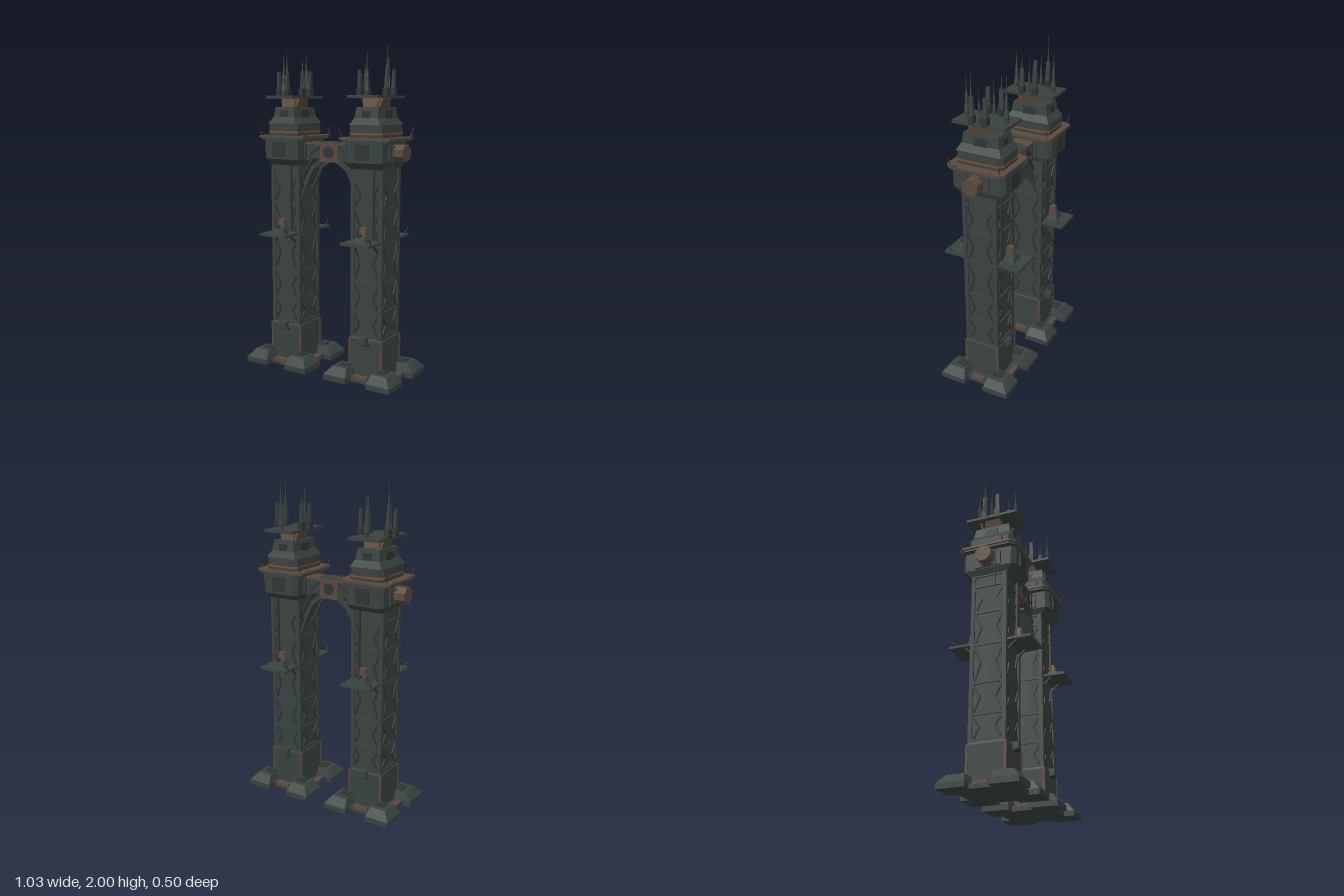
import * as THREE from 'three';

const mat = (name, color, side = THREE.FrontSide) => {
  const m = new THREE.MeshStandardMaterial({ color, side });
  m.name = name;
  return m;
};
const iron = mat('dark iron', 0x39423f);
const shade = mat('recessed iron', 0x2e3634);
const brown = mat('weathered brown', 0x5a493e);
const rust = mat('rust orange', 0x85502b);

function add(parent, name, geo, material, x = 0, y = 0, z = 0) {
  const m = new THREE.Mesh(geo, material);
  m.name = name;
  m.position.set(x, y, z);
  parent.add(m);
  return m;
}
const box = (p, name, m, w, h, d, x, y, z) => add(p, name, new THREE.BoxGeometry(w, h, d), m, x, y, z);

// Four-sided frustum standing on y0; (tx, tz) shifts its top
function frustum(p, name, m, w0, d0, w1, d1, y0, y1, x = 0, z = 0, tx = 0, tz = 0) {
  const g = new THREE.BoxGeometry(1, y1 - y0, 1);
  const a = g.attributes.position;
  for (let i = 0; i < a.count; i++) {
    const top = a.getY(i) > 0;
    a.setX(i, a.getX(i) * (top ? w1 : w0) + (top ? tx : 0));
    a.setZ(i, a.getZ(i) * (top ? d1 : d0) + (top ? tz : 0));
  }
  g.computeVertexNormals();
  return add(p, name, g, m, x, (y0 + y1) / 2, z);
}

// Rectangular slab with cut corners
function slab(p, name, m, w, d, cut, y0, y1) {
  const s = new THREE.Shape();
  const a = w / 2, b = d / 2;
  [[-a + cut, -b], [a - cut, -b], [a, -b + cut], [a, b - cut], [a - cut, b], [-a + cut, b], [-a, b - cut], [-a, -b + cut]]
    .forEach(([x, y], i) => (i ? s.lineTo(x, y) : s.moveTo(x, y)));
  const g = new THREE.ExtrudeGeometry(s, { depth: y1 - y0, bevelEnabled: false });
  g.rotateX(-Math.PI / 2);
  return add(p, name, g, m, 0, y0, 0);
}

// Square bar between two points
function bar(p, name, m, a, b, w, d = w) {
  const A = new THREE.Vector3(...a), B = new THREE.Vector3(...b);
  const dir = B.clone().sub(A);
  const mesh = add(p, name, new THREE.BoxGeometry(w, dir.length(), d), m);
  mesh.position.copy(A).add(B).multiplyScalar(0.5);
  mesh.quaternion.setFromUnitVectors(new THREE.Vector3(0, 1, 0), dir.normalize());
  return mesh;
}

// Spire: faceted blade tapering to a needle
function spire(p, x, z, y0, y1, r) {
  const h = y1 - y0;
  const pts = [[0, 0], [r * 0.8, 0], [r, h * 0.12], [r * 0.6, h * 0.3], [r * 0.62, h * 0.42], [r * 0.22, h * 0.62], [0, h]];
  const g = new THREE.LatheGeometry(pts.map(q => new THREE.Vector2(...q)), 5).toNonIndexed();
  g.computeVertexNormals();
  add(p, 'spire', g, iron, x, y0, z);
}

function buildFeet(t) {
  slab(t, 'baseSlab', iron, 0.34, 0.34, 0.04, 0, 0.03);
  for (const sx of [-1, 1]) for (const sz of [-1, 1]) {
    const x = sx * 0.147, z = sz * 0.147;
    box(t, 'footPad', iron, 0.156, 0.032, 0.166, x, 0.016, z);
    frustum(t, 'footSlope', iron, 0.15, 0.16, 0.1, 0.105, 0.032, 0.08, x, z, -sx * 0.012, -sz * 0.012);
    box(t, 'footCap', shade, 0.06, 0.012, 0.06, sx * 0.125, 0.082, sz * 0.125);
  }
  for (const s of [-1, 1]) {
    box(t, 'footJoint', brown, 0.09, 0.022, 0.03, 0, 0.03, s * 0.16);
    box(t, 'footJoint', brown, 0.03, 0.022, 0.08, s * 0.16, 0.03, 0);
  }
}

function buildShaft(t) {
  box(t, 'shaftCore', iron, 0.194, 1.24, 0.2, 0, 0.65, 0);
  // Plinth with worn corner strips
  frustum(t, 'plinth', iron, 0.222, 0.228, 0.222, 0.228, 0.03, 0.25);
  frustum(t, 'plinthShoulder', iron, 0.222, 0.228, 0.2, 0.208, 0.25, 0.275);
  for (const sx of [-1, 1]) for (const sz of [-1, 1]) {
    box(t, 'plinthCorner', brown, 0.012, 0.17, 0.014, sx * 0.108, 0.165, sz * 0.11);
    box(t, 'cornerPost', iron, 0.024, 1.01, 0.024, sx * 0.094, 0.77, sz * 0.098);
  }
  // Ring bands and diagonal ribs in every panel
  const levels = [0.27, 0.42, 0.6, 0.83, 1.03, 1.2, 1.27];
  levels.forEach((y, i) => {
    box(t, 'band', iron, 0.21, 0.018, 0.218, 0, y, 0);
    if (i > 4) return;
    const lo = y + 0.012, hi = levels[i + 1] - 0.012, mid = (lo + hi) / 2;
    for (const s of [-1, 1]) for (const k of [-1, 1]) {
      bar(t, 'rib', shade, [k * 0.086, hi, s * 0.102], [k * 0.045, mid, s * 0.102], 0.012);
      bar(t, 'rib', shade, [k * 0.045, mid, s * 0.102], [k * 0.08, lo, s * 0.102], 0.012);
      bar(t, 'rib', shade, [s * 0.099, hi, k * 0.088], [s * 0.099, mid, k * 0.045], 0.012);
      bar(t, 'rib', shade, [s * 0.099, mid, k * 0.045], [s * 0.099, lo, k * 0.08], 0.012);
    }
  });
  for (const s of [-1, 1]) {
    bar(t, 'conduit', shade, [0.05, 0.86, s * 0.112], [0.05, 1.27, s * 0.112], 0.012);
    box(t, 'shaftLamp', iron, 0.04, 0.04, 0.04, 0, 0.25, s * 0.127);
    box(t, 'lampBase', shade, 0.06, 0.012, 0.034, 0, 0.228, s * 0.125);
  }
}

function buildBalcony(t, s) {
  const g = new THREE.Group();
  g.name = 'balcony';
  t.add(g);
  box(g, 'balconyDeck', iron, 0.19, 0.015, 0.15, 0, 0.842, s * 0.174);
  for (const k of [-1, 1]) {
    bar(g, 'balconyBracket', shade, [k * 0.07, 0.79, s * 0.105], [k * 0.07, 0.836, s * 0.155], 0.01);
    bar(g, 'balconySpike', shade, [k * 0.085, 0.85, s * 0.2], [k * 0.092, 0.885, s * 0.235], 0.005);
  }
  frustum(g, 'turretBase', iron, 0.08, 0.075, 0.055, 0.055, 0.849, 0.885, 0, s * 0.15);
  const drum = new THREE.CylinderGeometry(0.023, 0.028, 0.05, 8).toNonIndexed();
  drum.computeVertexNormals();
  add(g, 'turretDrum', drum, brown, 0, 0.91, s * 0.143);
  bar(g, 'turretBarrel', shade, [0, 0.895, s * 0.15], [0, 0.888, s * 0.2], 0.012);
}

function buildHead(t, out) {
  // Collar
  frustum(t, 'collarSkirt', iron, 0.205, 0.22, 0.24, 0.3, 1.265, 1.305);
  slab(t, 'collar', iron, 0.245, 0.335, 0.025, 1.305, 1.43);
  for (const s of [-1, 1]) {
    box(t, 'collarHatch', shade, 0.09, 0.09, 0.012, 0, 1.365, s * 0.168);
    box(t, 'collarFlange', iron, 0.02, 0.09, 0.16, s * 0.122, 1.355, 0);
  }
  // Outer hub
  const hub = new THREE.CylinderGeometry(0.052, 0.052, 0.075, 8).toNonIndexed();
  hub.rotateY(Math.PI / 8);
  hub.rotateZ(Math.PI / 2);
  hub.computeVertexNormals();
  add(t, 'sideHub', hub, brown, out * 0.164, 1.36, 0);
  box(t, 'hubMount', iron, 0.03, 0.085, 0.085, out * 0.128, 1.36, 0);
  // Walkway
  slab(t, 'walkwayUnderside', iron, 0.31, 0.34, 0.03, 1.422, 1.434);
  slab(t, 'walkway', brown, 0.33, 0.36, 0.03, 1.434, 1.447);
  for (const sx of [-1, 1]) for (const sz of [-1, 1]) {
    bar(t, 'walkwayAerial', shade, [sx * 0.145, 1.445, sz * 0.15], [sx * 0.158, 1.5, sz * 0.165], 0.004);
    bar(t, 'walkwayAerial', shade, [sx * 0.15, 1.445, sz * 0.1], [sx * 0.185, 1.465, sz * 0.11], 0.004);
  }
  bar(t, 'hangingCable', shade, [out * 0.135, 1.17, 0.05], [out * 0.14, 1.43, 0.05], 0.004);
  // Stepped turret
  slab(t, 'turretStep', iron, 0.215, 0.29, 0.025, 1.447, 1.52);
  slab(t, 'rustBand', rust, 0.219, 0.294, 0.025, 1.465, 1.474);
  frustum(t, 'turretSlope', iron, 0.205, 0.28, 0.155, 0.235, 1.52, 1.56);
  frustum(t, 'turretTop', iron, 0.155, 0.235, 0.14, 0.215, 1.56, 1.62);
  for (const s of [-1, 1]) {
    box(t, 'turretHatch', shade, 0.055, 0.05, 0.02, 0, 1.575, s * 0.108);
    box(t, 'turretVent', shade, 0.02, 0.05, 0.08, s * 0.07, 1.575, 0);
  }
  frustum(t, 'neck', brown, 0.11, 0.12, 0.14, 0.09, 1.62, 1.672);
  for (const s of [-1, 1]) bar(t, 'neckStrut', rust, [s * 0.04, 1.62, s * 0.07], [s * 0.065, 1.672, s * 0.08], 0.012);
  // Crown deck with spires
  box(t, 'crownDeck', iron, 0.2, 0.016, 0.325, 0, 1.68, 0);
  spire(t, 0.005, -0.122, 1.688, 1.96, 0.017);
  spire(t, 0.005, 0.122, 1.688, 1.93, 0.017);
  for (const s of [-1, 1]) {
    for (const z of [-0.042, 0.042]) {
      frustum(t, 'crownFin', iron, 0.02, 0.03, 0.012, 0.022, 1.67, 1.835, s * 0.086, z, s * 0.004);
      box(t, 'finFoot', shade, 0.032, 0.05, 0.034, s * 0.086, 1.705, z);
    }
    spire(t, s * 0.09, s * 0.042, 1.69, s === out ? 2 : 1.95, 0.014);
    spire(t, s * 0.08, 0, 1.688, 1.9, 0.011);
  }
}

function buildBridge(root) {
  const g = new THREE.Group();
  g.name = 'bridge';
  root.add(g);
  box(g, 'bridgeBeam', iron, 0.36, 0.085, 0.1, 0, 1.355, 0);
  box(g, 'bridgeCentre', brown, 0.125, 0.118, 0.125, 0, 1.35, 0);
  box(g, 'bridgeDeck', brown, 0.36, 0.01, 0.125, 0, 1.402, 0);
  slab(g, 'deckPatch', iron, 0.18, 0.115, 0.03, 1.406, 1.412);
  for (const s of [-1, 1]) {
    const disc = new THREE.CylinderGeometry(0.036, 0.036, 0.008, 12);
    disc.rotateX(Math.PI / 2);
    add(g, 'bridgeDisc', disc, shade, 0, 1.352, s * 0.064);
    box(g, 'bridgeCollar', iron, 0.03, 0.11, 0.115, s * 0.155, 1.35, 0);
    for (const z of [-0.045, 0.045]) {
      bar(g, 'bridgeRib', shade, [s * 0.065, 1.385, z * 1.12], [s * 0.15, 1.325, z * 1.12], 0.012);
      // Bent braces below the beam
      bar(g, 'outerBrace', iron, [s * 0.192, 1.12, z], [s * 0.125, 1.255, z], 0.024);
      bar(g, 'outerBrace', iron, [s * 0.13, 1.247, z], [s * 0.055, 1.3, z], 0.024);
      bar(g, 'innerBrace', shade, [s * 0.192, 1.21, z], [s * 0.125, 1.31, z], 0.016);
    }
    bar(g, 'braceWeb', iron, [s * 0.188, 1.14, 0], [s * 0.13, 1.255, 0], 0.014, 0.08);
  }
}

export function createModel() {
  const root = new THREE.Group();
  root.name = 'twinTowerGate';
  for (const out of [-1, 1]) {
    const t = new THREE.Group();
    t.name = out > 0 ? 'leftTower' : 'rightTower';
    t.position.x = out * 0.292;
    root.add(t);
    buildFeet(t);
    buildShaft(t);
    for (const s of [-1, 1]) buildBalcony(t, s);
    buildHead(t, out);
  }
  buildBridge(root);
  return root;
}
